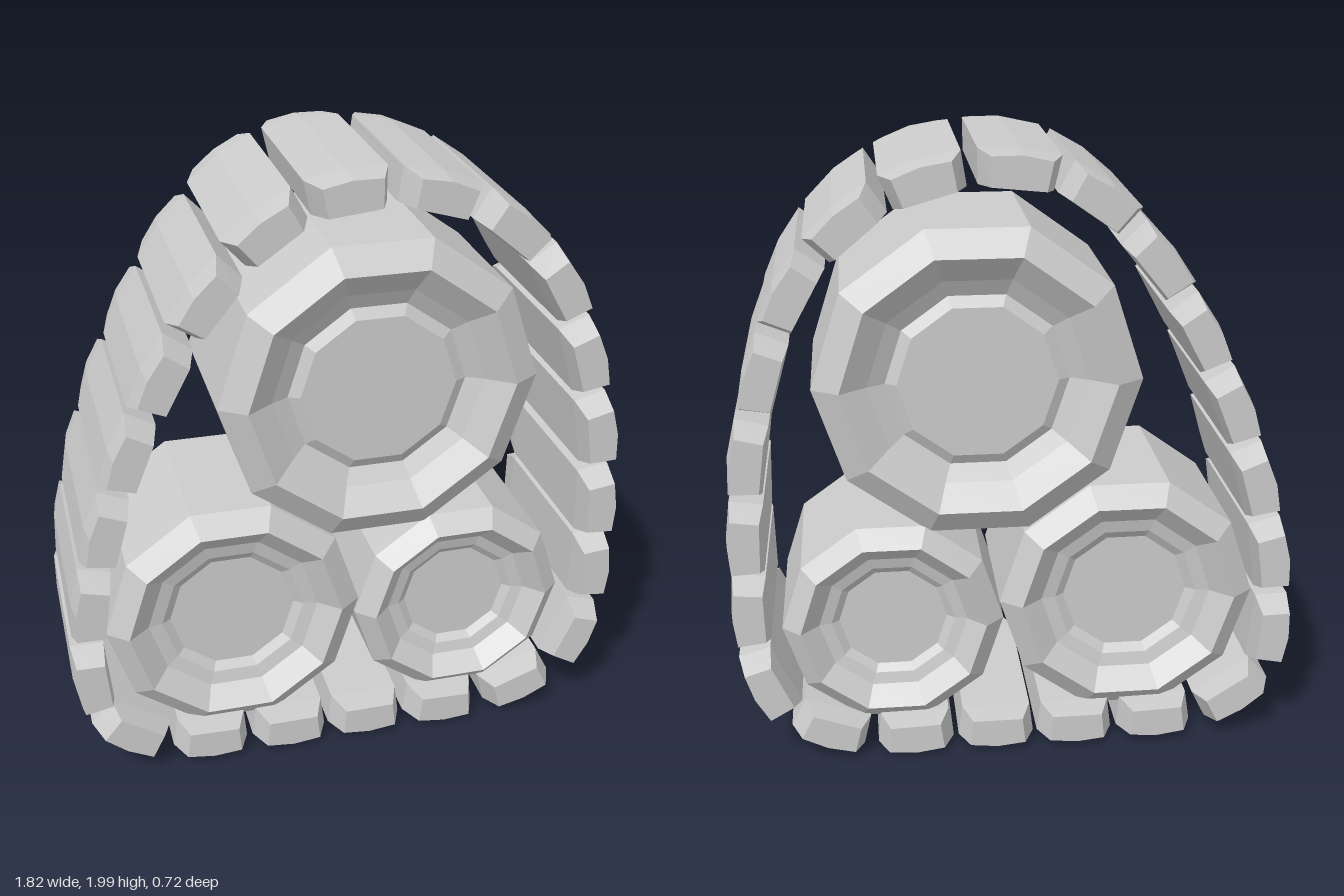
import * as THREE from 'three';
import { ConvexGeometry } from 'three/addons/geometries/ConvexGeometry.js';

const material = new THREE.MeshStandardMaterial({
  color: 0xcccccc, flatShading: true, side: THREE.DoubleSide,
});

// Ten-sided wheel along z: raised rim, stepped recess and hub, same on both faces
function createWheel(radius, grooveDepth, hubDepth) {
  const face = [
    [0, hubDepth], [0.49, hubDepth], [0.56, grooveDepth], [0.67, 0.25], [0.835, 0.31], [1, 0.255],
  ];
  const points = [
    ...face.map(([r, z]) => new THREE.Vector2(r * radius, -z)),
    ...face.slice().reverse().map(([r, z]) => new THREE.Vector2(r * radius, z)),
  ];
  const geometry = new THREE.LatheGeometry(points, 10, Math.PI / 2);
  geometry.rotateX(Math.PI / 2);
  return new THREE.Mesh(geometry, material);
}

// Track block: slightly crowned section, tapered at both ends; +y is the outer side
function createBlockGeometry() {
  const section = [
    [-0.113, -0.058], [0.113, -0.058], [0.126, 0.048], [0, 0.06], [-0.126, 0.048],
  ];
  const points = [];
  for (const [z, sx, sy] of [[0.36, 0.72, 0.84], [0.275, 1, 1]]) {
    for (const side of [-1, 1]) {
      for (const [x, y] of section) points.push(new THREE.Vector3(x * sx, y * sy, side * z));
    }
  }
  return new ConvexGeometry(points);
}

export function createModel() {
  const model = new THREE.Group();
  model.name = 'trackUnit';

  // Wheels: name, x, y, radius, groove depth, hub depth
  const wheels = [
    ['upperWheel', 0.11, 1.262, 0.515, 0.22, 0.24],
    ['lowerRightWheel', -0.374, 0.506, 0.42, 0.24, 0.22],
    ['lowerLeftWheel', 0.394, 0.448, 0.36, 0.24, 0.22],
  ];
  for (const [name, x, y, radius, grooveDepth, hubDepth] of wheels) {
    const wheel = createWheel(radius, grooveDepth, hubDepth);
    wheel.name = name;
    wheel.position.set(x, y, 0);
    model.add(wheel);
  }

  // Track blocks, clockwise from the top: x, y, turn in degrees
  const blocks = [
    [-0.008, 1.932, 6], [0.267, 1.906, -16], [0.5, 1.782, -40], [0.669, 1.577, -61],
    [0.768, 1.324, -74], [0.829, 1.055, -82], [0.85, 0.786, -88], [0.85, 0.537, -91],
    [0.802, 0.268, -114], [0.605, 0.1, -160], [0.332, 0.065, -182], [0.062, 0.071, -180],
    [-0.203, 0.071, -180], [-0.473, 0.077, -182], [-0.733, 0.149, -213], [-0.853, 0.375, -265],
    [-0.838, 0.65, -278], [-0.778, 0.912, -286], [-0.691, 1.166, -292], [-0.578, 1.41, -298],
    [-0.436, 1.642, -309], [-0.251, 1.84, -325],
  ];
  const blockGeometry = createBlockGeometry();
  const track = new THREE.Group();
  track.name = 'track';
  for (const [x, y, turn] of blocks) {
    const block = new THREE.Mesh(blockGeometry, material);
    block.name = 'trackBlock';
    block.position.set(x, y, 0);
    block.rotation.z = THREE.MathUtils.degToRad(turn);
    track.add(block);
  }
  model.add(track);
  return model;
}
